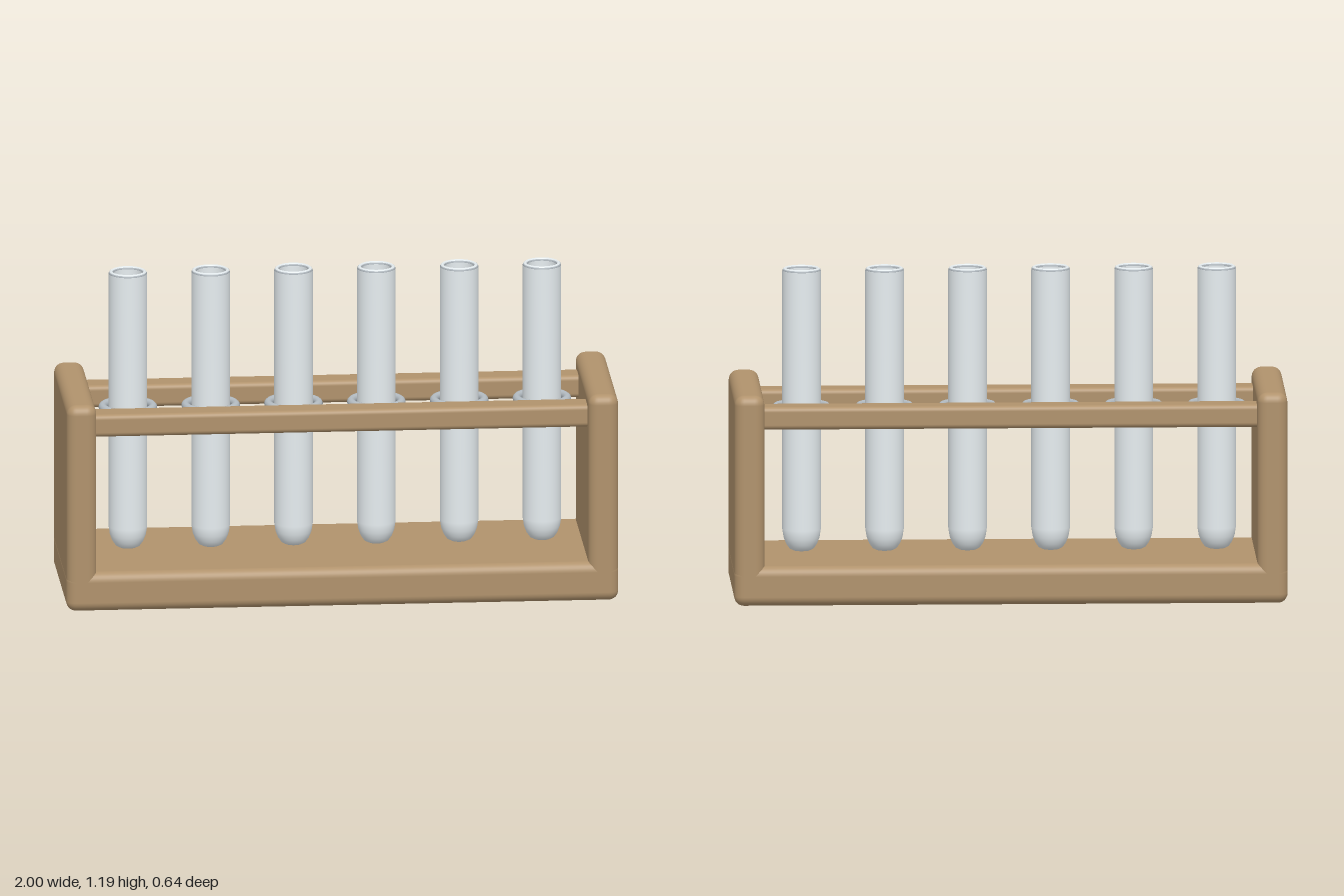
import * as THREE from 'three';
import { RoundedBoxGeometry } from 'three/addons/geometries/RoundedBoxGeometry.js';

const mat = (color, side = THREE.FrontSide) => new THREE.MeshStandardMaterial({ color, side });

export function createModel() {
  const model = new THREE.Group();
  const wood = mat(0xb0926c);
  const glass = mat(0xe6edf0, THREE.DoubleSide);
  const collarMat = mat(0xb4bcc2);
  const teal = mat(0x3398b4);
  const pale = mat(0xc0d2d4);

  const add = (parent, name, geometry, material, x = 0, y = 0, z = 0) => {
    const mesh = new THREE.Mesh(geometry, material);
    mesh.name = name;
    mesh.position.set(x, y, z);
    parent.add(mesh);
    return mesh;
  };

  // Wooden frame: base, two end panels and two rails
  add(model, 'base', new RoundedBoxGeometry(2, 0.145, 0.64, 4, 0.035), wood, 0, 0.0725, 0);
  for (const s of [-1, 1]) {
    const side = s > 0 ? 'left' : 'right';
    add(model, side + 'EndPanel', new RoundedBoxGeometry(0.108, 0.77, 0.64, 4, 0.035), wood, s * 0.945, 0.385, 0);
    add(model, s > 0 ? 'frontRail' : 'backRail',
      new RoundedBoxGeometry(1.998, 0.083, 0.105, 4, 0.018), wood, 0, 0.677, s * 0.2);
  }

  // Hollow tube profile: rounded outer bottom, rolled rim, inner wall and floor
  const R = 0.07, r = 0.052;
  const profile = [
    [0, 0.155], [0.03, 0.156], [0.044, 0.163], [0.056, 0.18], [0.065, 0.203], [R, 0.235],
    [R, 1.178], [0.067, 1.186], [0.061, 1.19], [0.055, 1.186], [r, 1.178],
    [r, 0.24], [0.045, 0.205], [0.03, 0.185], [0, 0.178],
  ].map(([x, y]) => new THREE.Vector2(x, y));
  const tubeGeo = new THREE.LatheGeometry(profile, 40);
  const rimGeo = new THREE.TorusGeometry(0.061, 0.0085, 8, 40).rotateX(Math.PI / 2);
  const collarGeo = new THREE.TorusGeometry(0.091, 0.015, 12, 40).rotateX(Math.PI / 2);

  // Liquid column with a rounded lower end
  const liquidGeo = new THREE.LatheGeometry(
    [[0, 0.18], [0.028, 0.187], [0.043, 0.207], [0.051, 0.24], [0.051, 0.6], [0.051, 0.6], [0, 0.6]]
      .map(([x, y]) => new THREE.Vector2(x, y)), 32);

  // Six tubes, each held by a collar; the first four carry liquid
  const liquids = [pale, teal, pale, teal, null, null];
  liquids.forEach((liquid, i) => {
    const unit = new THREE.Group();
    unit.name = 'testTube' + (i + 1);
    unit.position.x = -0.754 + i * 0.3;
    add(unit, 'glassTube', tubeGeo, glass);
    add(unit, 'rim', rimGeo, collarMat, 0, 1.18, 0);
    add(unit, 'collar', collarGeo, collarMat, 0, 0.68, 0);
    if (liquid) add(unit, 'liquid', liquidGeo, liquid);
    model.add(unit);
  });

  return model;
}
